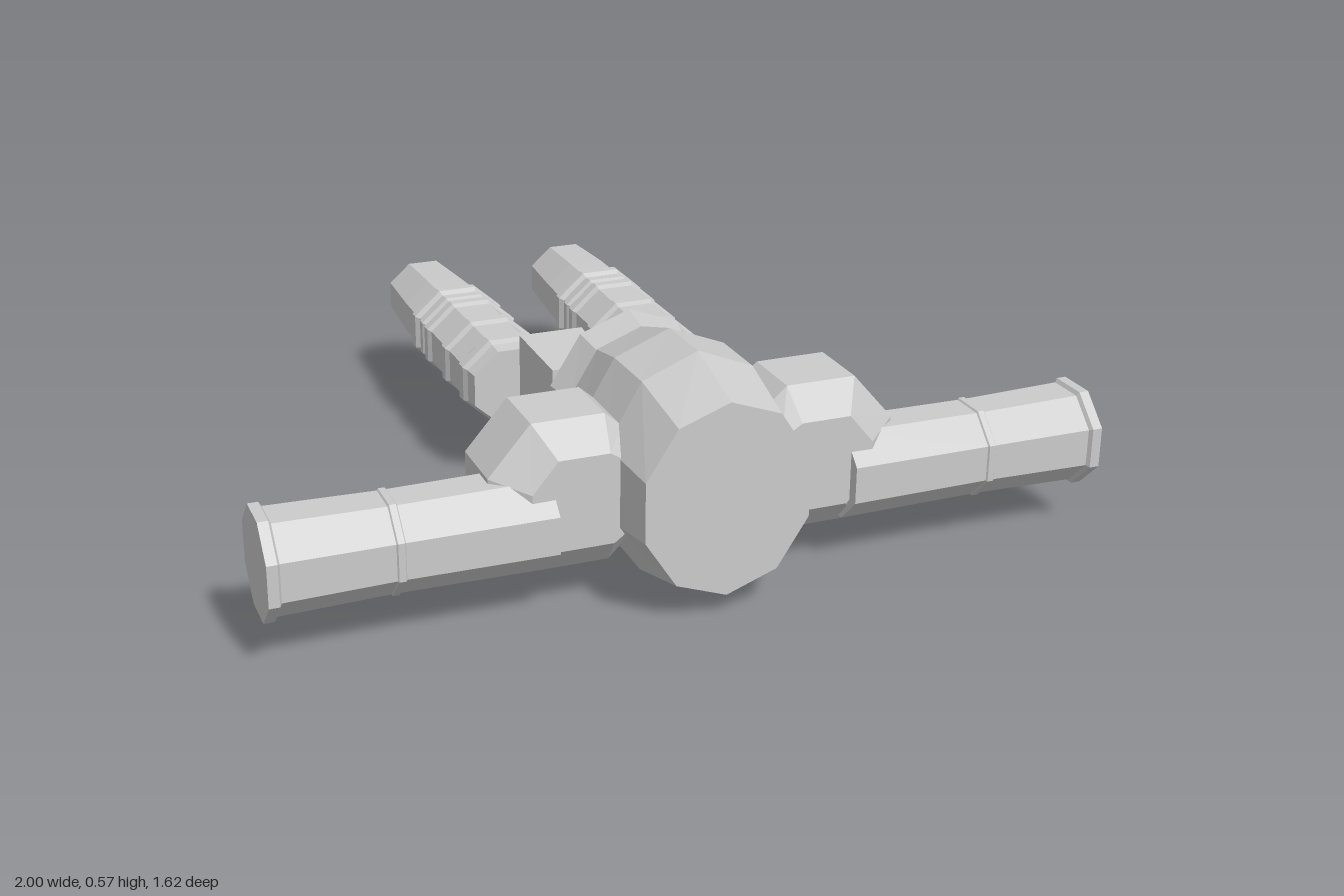
import * as THREE from 'three';

const material = new THREE.MeshStandardMaterial({ color: 0xcccccc, flatShading: true });

// Regular polygon, counter-clockwise, with centre and two radii
function polygon(sides, rx, ry, phase, cx = 0, cy = 0) {
  return Array.from({ length: sides }, (_, i) => {
    const a = phase + (i / sides) * Math.PI * 2;
    return [cx + rx * Math.cos(a), cy + ry * Math.sin(a)];
  });
}

// Octagon with flat top, sized by its half width and half height
function octagon(halfW, halfH, cx = 0, cy = 0) {
  const k = 1 / Math.cos(Math.PI / 8);
  return polygon(8, halfW * k, halfH * k, Math.PI / 8, cx, cy);
}

// Closed, convex solid through cross-sections [z, points], with z ascending
function loft(sections) {
  const n = sections[0][1].length;
  const last = (sections.length - 1) * n;
  const position = [];
  const index = [];
  sections.forEach(([z, pts]) => pts.forEach(([x, y]) => position.push(x, y, z)));
  for (let s = 0; s < last; s += n) {
    for (let i = 0; i < n; i++) {
      const a = s + i, b = s + ((i + 1) % n);
      index.push(a, b, b + n, a, b + n, a + n);
    }
  }
  for (let i = 1; i < n - 1; i++) {
    index.push(0, i + 1, i, last, last + i, last + i + 1);
  }
  const geometry = new THREE.BufferGeometry();
  geometry.setAttribute('position', new THREE.Float32BufferAttribute(position, 3));
  geometry.setIndex(index);
  const flat = geometry.toNonIndexed();
  flat.computeVertexNormals();
  return flat;
}

export function createModel() {
  const model = new THREE.Group();
  model.name = 'model';
  const add = (name, geometry) => {
    const mesh = new THREE.Mesh(geometry, material);
    mesh.name = name;
    model.add(mesh);
    return mesh;
  };

  // Barrel-shaped body, ten-sided
  add('body', loft([
    [0.3, 0.19, 0.225], [0.47, 0.228, 0.28], [0.63, 0.226, 0.283], [0.81, 0.205, 0.23],
  ].map(([z, rx, ry]) => [z, polygon(10, rx, ry, Math.PI / 2, 0, 0.287)])));

  // Flared collar behind the body, flat underneath
  add('collar', loft([[0.222, 0.21, 0.242], [0.32, 0.188, 0.222]].map(([z, rx, ry]) => [
    z, polygon(10, rx, ry, Math.PI / 2, 0, 0.286).map(([x, y]) => [x, Math.max(y, 0.105)]),
  ])));

  // Small tab under the body
  const tab = add('bellyTab', new THREE.BoxGeometry(0.04, 0.015, 0.06));
  tab.position.set(0, 0.042, 0.385);
  tab.rotation.x = 0.3;

  // Shoulder outlines for the +x side: full and front bevel
  const shoulderOuter = [
    [0.38, 0.1], [0.49, 0.21], [0.49, 0.34], [0.39, 0.455],
    [0.22, 0.455], [0.18, 0.42], [0.18, 0.13], [0.21, 0.1],
  ];
  const shoulderFront = [
    [0.35, 0.17], [0.41, 0.24], [0.41, 0.315], [0.35, 0.387],
    [0.23, 0.387], [0.18, 0.355], [0.18, 0.2], [0.22, 0.17],
  ];

  // Arm profile: distance from the middle, half thickness
  const armProfile = [
    [0.357, 0.107], [0.7, 0.104], [0.703, 0.108], [0.718, 0.108], [0.721, 0.104],
    [0.97, 0.109], [0.976, 0.118], [1, 0.118],
  ];

  // Rear tube profile: z, half height, with five raised bands
  const tubeProfile = [[-0.045, 0.096]];
  [[0.115, 0.06], [0.257, 0.055], [0.404, 0.05], [0.456, 0.04], [0.51, 0.045]].forEach(([d, w], i) => {
    const base = i > 2 ? 0.098 : 0.1;
    const band = i === 3 ? 0.104 : 0.107;
    tubeProfile.push([-d + w / 2, base], [-d + w / 4, band], [-d - w / 4, band], [-d - w / 2, base]);
  });
  tubeProfile.push([-0.62, 0.096], [-0.81, 0.085]);
  tubeProfile.reverse();

  for (const side of [1, -1]) {
    const prefix = side > 0 ? 'left' : 'right';
    const mirror = (pts) => (side > 0 ? pts : pts.map(([x, y]) => [-x, y]).reverse());

    // Bevelled shoulder housing
    add(prefix + 'Shoulder', loft([
      [0.47, mirror(shoulderOuter)], [0.63, mirror(shoulderOuter)], [0.695, mirror(shoulderFront)],
    ]));

    // Eight-sided arm with a middle ring and an end rim
    const arm = add(prefix + 'Arm', loft(armProfile.map(([d, r]) => [d, octagon(r, r)]))
      .rotateY(side * Math.PI / 2));
    arm.position.set(0, 0.224, 0.617);

    // Tapered connector block
    const block = (x0, x1, y0, y1) => mirror([[x0, y0], [x1, y0], [x1, y1], [x0, y1]]);
    add(prefix + 'Connector', loft([
      [0, block(0.037, 0.2, 0.18, 0.41)], [0.213, block(0.047, 0.19, 0.2, 0.395)],
    ]));

    // Banded rear tube, leaning slightly outward
    add(prefix + 'RearTube', loft(tubeProfile.map(([z, r]) => [
      z, octagon(r * 1.12, r, side * (0.195 - 0.018 * z), 0.26),
    ])));
  }
  return model;
}
